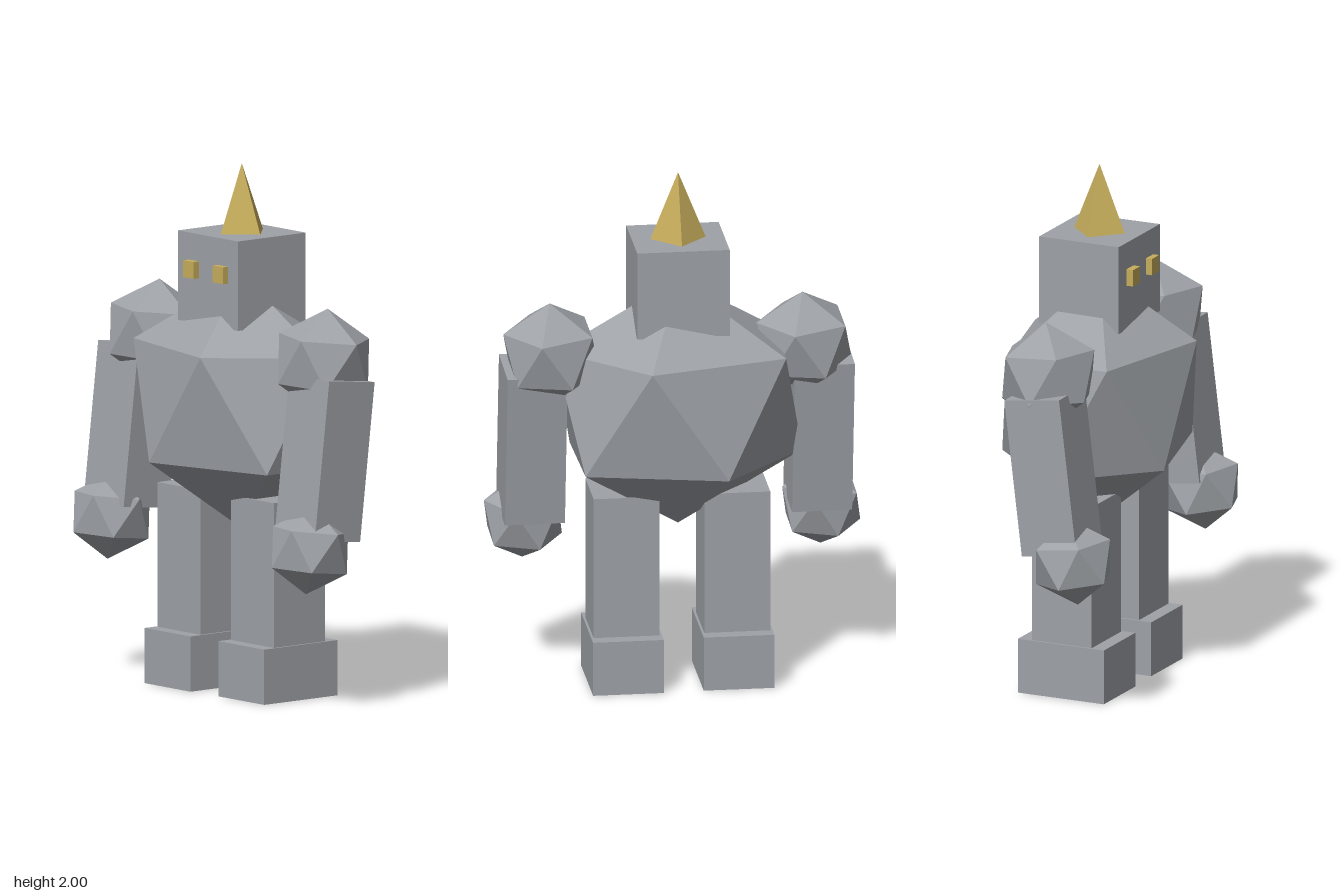
import * as THREE from 'three';

const stone = new THREE.MeshStandardMaterial({ color: 0x9ea2a7, flatShading: true });
stone.name = 'grey stone';
const gold = new THREE.MeshStandardMaterial({ color: 0xc6ad5c, flatShading: true });
gold.name = 'gold';

const YAW = -0.02;

function add(parent, name, geometry, material, position, rotation = [0, 0, 0]) {
  const mesh = new THREE.Mesh(geometry, material);
  mesh.name = name;
  mesh.position.set(...position);
  mesh.rotation.set(...rotation);
  parent.add(mesh);
  return mesh;
}

// Icosahedron standing on a corner, with an upper corner toward +x
function boulder(rx, ry = rx, rz = rx) {
  const tilt = Math.atan(2 / (1 + Math.sqrt(5)));
  return new THREE.IcosahedronGeometry(1, 0).rotateZ(-tilt).scale(rx, ry, rz);
}

const box = (w, h, d) => new THREE.BoxGeometry(w, h, d);

export function createModel() {
  const golem = new THREE.Group();
  golem.name = 'stoneGolem';

  // Body
  add(golem, 'torso', boulder(0.526, 0.483, 0.394), stone, [0, 1.095, 0]);

  // Head with horn
  add(golem, 'head', box(0.35, 0.34, 0.333), stone, [0, 1.57, 0], [0, YAW, 0]);
  add(golem, 'horn', new THREE.ConeGeometry(0.105, 0.26, 4), gold, [0, 1.87, 0]);

  // Mirrored eyes, arms and legs
  for (const [side, s] of [['left', 1], ['right', -1]]) {
    add(golem, side + 'Eye', box(0.06, 0.064, 0.06), gold, [s * 0.084, 1.605, 0.163]);

    const arm = new THREE.Group();
    arm.name = side + 'Arm';
    add(arm, 'shoulder', boulder(0.2), stone, [s * 0.48, 1.305, 0.012], [-0.07, 0, -0.04]);
    add(arm, 'forearm', box(0.228, 0.605, 0.228), stone, [s * 0.545, 0.95, 0.063], [-0.12, 0, 0]);
    add(arm, 'fist', boulder(0.167), stone, [s * 0.566, 0.612, 0.155], [-0.12, 0, 0]);
    golem.add(arm);

    const leg = new THREE.Group();
    leg.name = side + 'Leg';
    add(leg, 'shin', box(0.25, 0.56, 0.25), stone, [s * 0.21, 0.48, 0.003], [0, YAW, 0]);
    add(leg, 'foot', box(0.268, 0.21, 0.36), stone, [s * 0.21, 0.105, 0.003], [0, YAW, 0]);
    golem.add(leg);
  }

  return golem;
}
